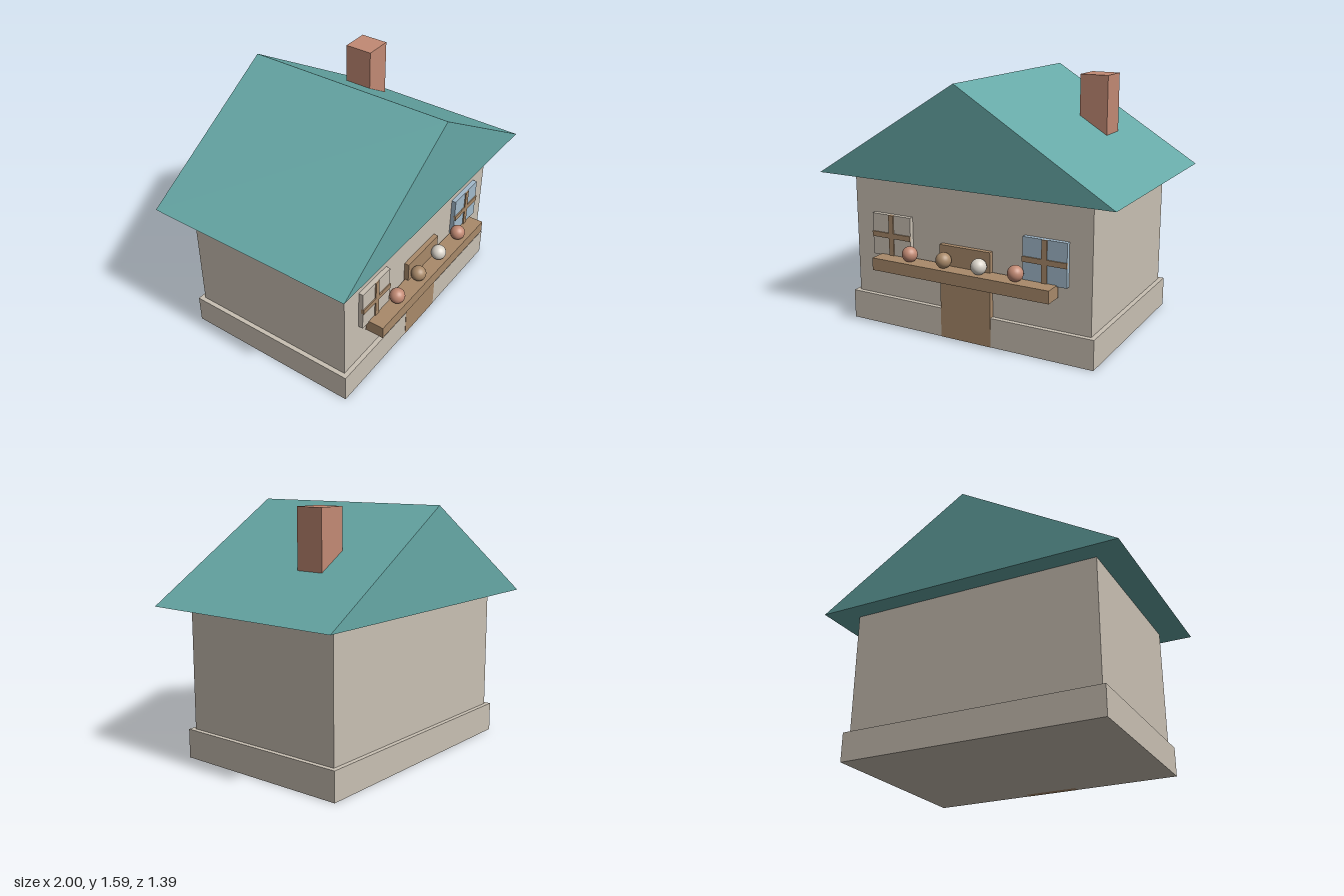
import * as THREE from 'three';

const mat = (name, color) => {
  const m = new THREE.MeshStandardMaterial({ color });
  m.name = name;
  return m;
};

export function createModel() {
  const house = new THREE.Group();
  house.name = 'house';

  const stone = mat('stone', 0xc9c0b3);
  const teal = mat('roofTeal', 0x66a8a6);
  const clay = mat('clay', 0xc28a74);
  const wood = mat('wood', 0xa98a6a);
  const glass = mat('glass', 0xa3bacb);
  const cream = mat('cream', 0xd8d2c8);

  const add = (name, geometry, material, parent = house) => {
    const mesh = new THREE.Mesh(geometry, material);
    mesh.name = name;
    parent.add(mesh);
    return mesh;
  };
  // Box given by its limits on each axis
  const box = (name, material, [x0, x1], [y0, y1], [z0, z1], parent) => {
    const mesh = add(name, new THREE.BoxGeometry(x1 - x0, y1 - y0, z1 - z0), material, parent);
    mesh.position.set((x0 + x1) / 2, (y0 + y1) / 2, (z0 + z1) / 2);
    return mesh;
  };

  // Plinth and walls
  box('plinth', stone, [-0.85, 0.85], [0, 0.187], [-0.594, 0.594]);
  box('walls', stone, [-0.82, 0.82], [0.187, 0.98], [-0.564, 0.564]);

  // Gable roof: a solid triangular prism
  const gable = new THREE.Shape([
    new THREE.Vector2(-1, 0.979),
    new THREE.Vector2(1, 0.979),
    new THREE.Vector2(0, 1.592),
  ]);
  const roof = new THREE.ExtrudeGeometry(gable, { depth: 1.384, bevelEnabled: false });
  roof.translate(0, 0, -0.692);
  add('roof', roof, teal);

  // Chimney rising through the right-hand slope
  box('chimney', clay, [0.418, 0.602], [1.1, 1.592], [-0.3, -0.115]);

  // Door
  box('door', wood, [-0.176, 0.176], [0, 0.6], [0.55, 0.596]);

  // Windows: pane with crossed bars
  for (const [name, x, pane] of [['rightWindow', -0.534, stone], ['leftWindow', 0.534, glass]]) {
    const win = new THREE.Group();
    win.name = name;
    win.position.x = x;
    house.add(win);
    box('pane', pane, [-0.142, 0.142], [0.465, 0.733], [0.55, 0.594], win);
    box('uprightBar', wood, [-0.017, 0.017], [0.465, 0.733], [0.58, 0.602], win);
    box('crossBar', wood, [-0.142, 0.142], [0.583, 0.616], [0.58, 0.602], win);
  }

  // Shelf with a row of balls
  box('shelf', wood, [-0.613, 0.613], [0.394, 0.473], [0.574, 0.696]);
  [clay, wood, cream, clay].forEach((material, i) => {
    const ball = add('ball', new THREE.SphereGeometry(0.049, 24, 16), material);
    ball.position.set(-0.369 + i * 0.246, 0.518, 0.637);
  });

  return house;
}
